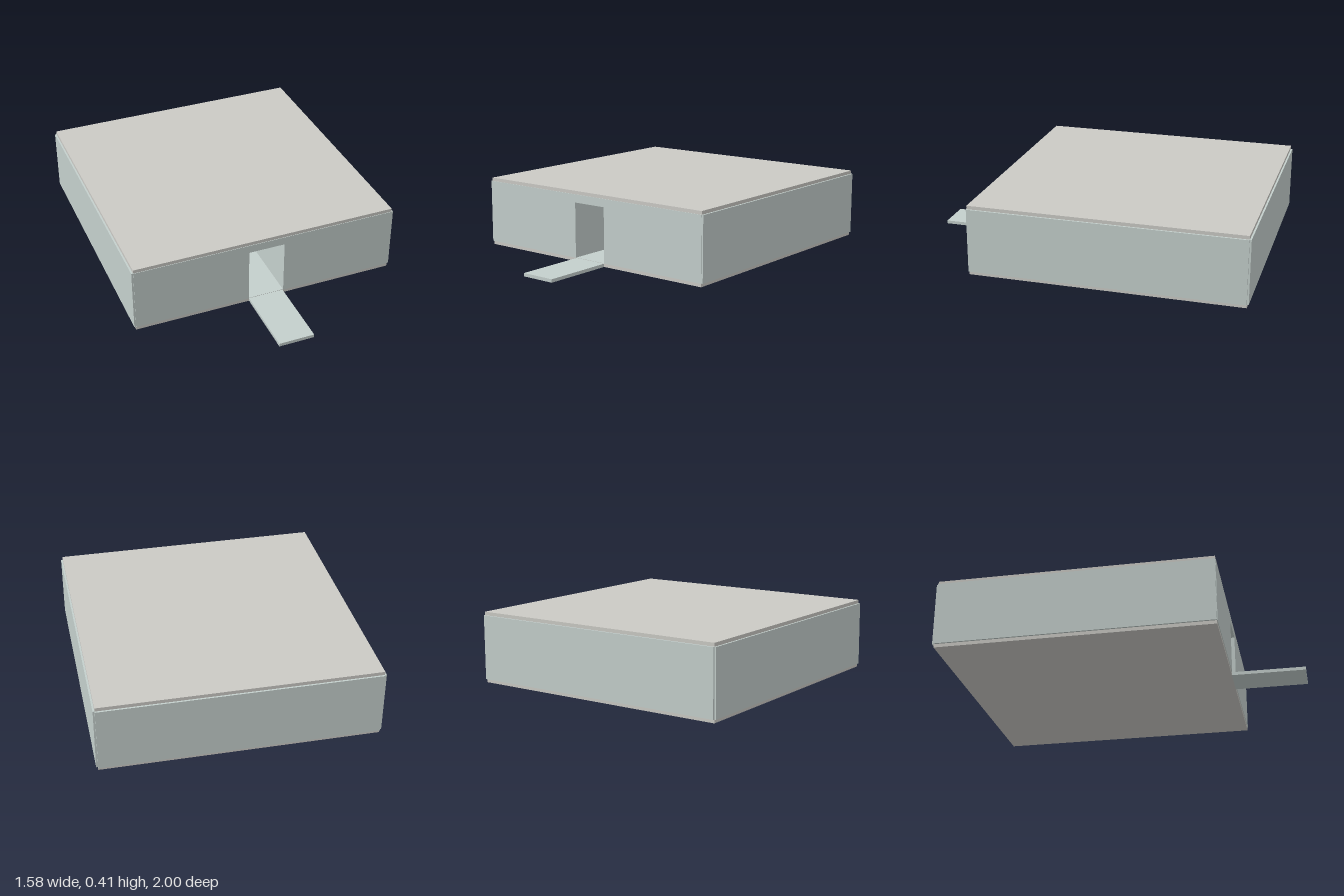
import * as THREE from 'three';

export function createModel() {
  const model = new THREE.Group();
  const wallMat = new THREE.MeshStandardMaterial({ color: 0xc4cfcc });
  const slabMat = new THREE.MeshStandardMaterial({ color: 0xcbcac5 });

  // Box given by its minimum and maximum corners
  function box(name, mat, [x0, y0, z0], [x1, y1, z1]) {
    const mesh = new THREE.Mesh(new THREE.BoxGeometry(x1 - x0, y1 - y0, z1 - z0), mat);
    mesh.position.set((x0 + x1) / 2, (y0 + y1) / 2, (z0 + z1) / 2);
    mesh.name = name;
    model.add(mesh);
    return mesh;
  }

  const half = 0.78, front = 0.575, back = -0.99;
  const low = 0.02, high = 0.39, top = 0.41;
  const door = 0.107, doorTop = 0.343;

  // Floor and roof slabs
  box('floor', slabMat, [-half, 0, back], [half, low, front]);
  box('roof', slabMat, [-half, high, back], [half, top, front]);

  // Side and back walls, standing slightly proud of the slabs
  box('leftWall', wallMat, [half - 0.01, low, back], [half + 0.01, high, front]);
  box('rightWall', wallMat, [-half - 0.01, low, back], [-half + 0.01, high, front]);
  box('backWall', wallMat, [-half, low, back - 0.01], [half, high, back + 0.01]);

  // Front wall with the doorway cut out of its lower edge
  const outline = new THREE.Shape([
    [-half, low], [-door, low], [-door, doorTop], [door, doorTop],
    [door, low], [half, low], [half, high], [-half, high],
  ].map(([x, y]) => new THREE.Vector2(x, y)));
  const frontWall = new THREE.Mesh(
    new THREE.ExtrudeGeometry(outline, { depth: 0.02, bevelEnabled: false }), wallMat);
  frontWall.position.z = front - 0.017;
  frontWall.name = 'frontWall';
  model.add(frontWall);

  // Passage leading in from the doorway
  const inner = 0.05, passageFront = front - 0.017;
  for (const side of [-1, 1]) {
    const a = side * door, b = side * (door + 0.02);
    box(side > 0 ? 'leftPassageWall' : 'rightPassageWall', wallMat,
      [Math.min(a, b), low, inner], [Math.max(a, b), high, passageFront]);
  }
  box('passageCeiling', wallMat, [-door, doorTop, inner], [door, doorTop + 0.02, passageFront]);
  box('passageFloor', wallMat, [-door, low - 0.005, inner], [door, low + 0.001, front]);

  // Entrance path
  box('path', wallMat, [-0.104, 0, front], [0.104, 0.019, 1]);

  return model;
}
